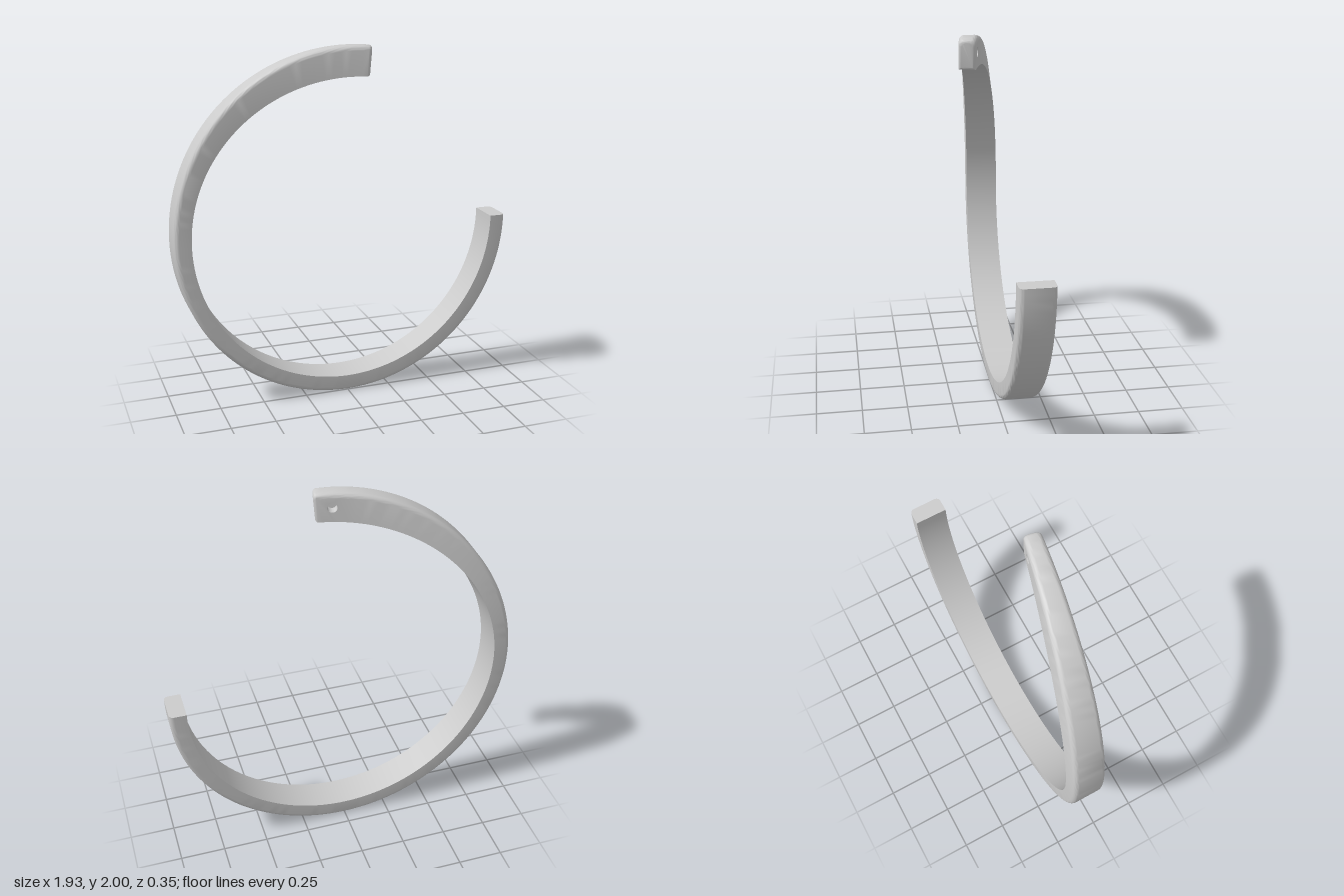
import * as THREE from 'three';
import { toCreasedNormals } from 'three/addons/utils/BufferGeometryUtils.js';

const RAD = Math.PI / 180;
const CY = 0.967, INNER = 0.874, OUTER = 0.966, TOP_OUTER = 1.033;
const START = -180 * RAD, END = 94.8 * RAD;   // 0 = far side (-x), 90 = top
const FILLET = 0.026, TIP = 0.016;            // outer edge and tip rounding
const STEPS = 6;

// how far the upper arm has swung forward
const swing = (p) => (p <= 0 ? 0 : (1 - Math.cos(p)) / (1 - Math.cos(END)));
const backZ = (p) => -0.177 + 0.264 * swing(p);
const frontZ = (p) => 0.01 + 0.165 * swing(p);
const outerR = (p) => (p <= 0 ? OUTER
  : 1 / Math.hypot(Math.cos(p) / OUTER, Math.sin(p) / TOP_OUTER));

// point on the ring; sections lean so they stay square to the swung arm
function place(p, r, z) {
  const lean = p > 0 ? -0.25 * Math.sin(p) * (z - (backZ(p) + frontZ(p)) / 2) : 0;
  return new THREE.Vector3(
    -r * Math.cos(p) + lean * Math.sin(p),
    CY + r * Math.sin(p) + lean * Math.cos(p), z);
}

// cross-section: sharp inner edges, rounded outer edges
function section(p, inset = 0) {
  const b = backZ(p) + inset, f = frontZ(p) - inset;
  const ri = INNER + inset, ro = outerR(p) - inset - FILLET;
  const pts = [place(p, ri, b), place(p, ri, f)];
  for (let side = 0; side < 2; side++) {
    for (let i = 0; i <= STEPS; i++) {
      const a = (i / STEPS) * Math.PI / 2;
      const s = FILLET * Math.sin(a), c = FILLET * Math.cos(a);
      pts.push(side === 0 ? place(p, ro + s, f - FILLET + c) : place(p, ro + c, b + FILLET - s));
    }
  }
  return pts;
}

function build(triangles) {
  const g = new THREE.BufferGeometry().setFromPoints(triangles);
  return toCreasedNormals(g, 32 * RAD);
}

export function createModel() {
  const group = new THREE.Group();
  const material = new THREE.MeshStandardMaterial({ color: 0xcccccc });
  const tris = [];

  // angles along the ring, then the rounded tip
  const bodyEnd = END - TIP / 0.95;
  const patchStart = 84 * RAD;
  const angles = [];
  for (let i = 0; i <= 132; i++) angles.push(START + (patchStart - START) * i / 132);
  const patchFirst = angles.length - 1;
  for (let i = 1; i <= 6; i++) angles.push(patchStart + (bodyEnd - patchStart) * i / 6);
  const patchLast = angles.length - 1;
  const rings = angles.map((p) => section(p));
  for (let i = 1; i <= 5; i++) {
    const a = (i / 5) * Math.PI / 2;
    rings.push(section(bodyEnd + (END - bodyEnd) * Math.sin(a), TIP * (1 - Math.cos(a))));
  }

  // skin, leaving out the back face where the hole sits
  const n = rings[0].length;
  for (let i = 0; i < rings.length - 1; i++) {
    for (let j = 0; j < n; j++) {
      if (j === n - 1 && i >= patchFirst && i < patchLast) continue;
      const k = (j + 1) % n;
      const a = rings[i][j], b = rings[i][k], c = rings[i + 1][k], d = rings[i + 1][j];
      tris.push(a, c, b, a, d, c);
    }
  }

  // end caps
  const first = rings[0], last = rings[rings.length - 1];
  for (let j = 1; j < n - 1; j++) {
    tris.push(first[0], first[j], first[j + 1]);
    tris.push(last[0], last[j + 1], last[j]);
  }

  // back face of the tip, pierced by a round hole
  const MID = 0.953, HOLE = 0.026, DEPTH = 0.05, SIDES = 28;
  const span = angles.slice(patchFirst, patchLast + 1);
  const outline = span.map((p) => new THREE.Vector2(p * MID, INNER));
  for (const p of [...span].reverse()) outline.push(new THREE.Vector2(p * MID, outerR(p) - FILLET));
  const rim = [];
  for (let i = 0; i < SIDES; i++) {
    const a = (i / SIDES) * Math.PI * 2;
    rim.push(new THREE.Vector2(89.3 * RAD * MID + HOLE * Math.cos(a), MID + HOLE * Math.sin(a)));
  }
  const shape = new THREE.Shape(outline);
  shape.holes.push(new THREE.Path(rim));
  const flat = new THREE.ShapeGeometry(shape);
  const onBack = (v, depth = 0) => place(v.x / MID, v.y, backZ(v.x / MID) + depth);
  const pos = flat.attributes.position, idx = flat.index;
  for (let i = 0; i < idx.count; i += 3) {
    for (const k of [0, 2, 1]) {
      tris.push(onBack(new THREE.Vector2().fromBufferAttribute(pos, idx.getX(i + k))));
    }
  }

  const band = new THREE.Mesh(build(tris), material);
  band.name = 'openRingBand';
  group.add(band);

  // blind hole: wall and floor
  const well = [];
  const floor = onBack(new THREE.Vector2(89.3 * RAD * MID, MID), DEPTH);
  for (let i = 0; i < SIDES; i++) {
    const u = rim[i], v = rim[(i + 1) % SIDES];
    const a = onBack(u), b = onBack(v), c = onBack(v, DEPTH), d = onBack(u, DEPTH);
    well.push(a, c, b, a, d, c, floor, c, d);
  }
  const hole = new THREE.Mesh(build(well), material);
  hole.name = 'blindHole';
  group.add(hole);

  return group;
}
